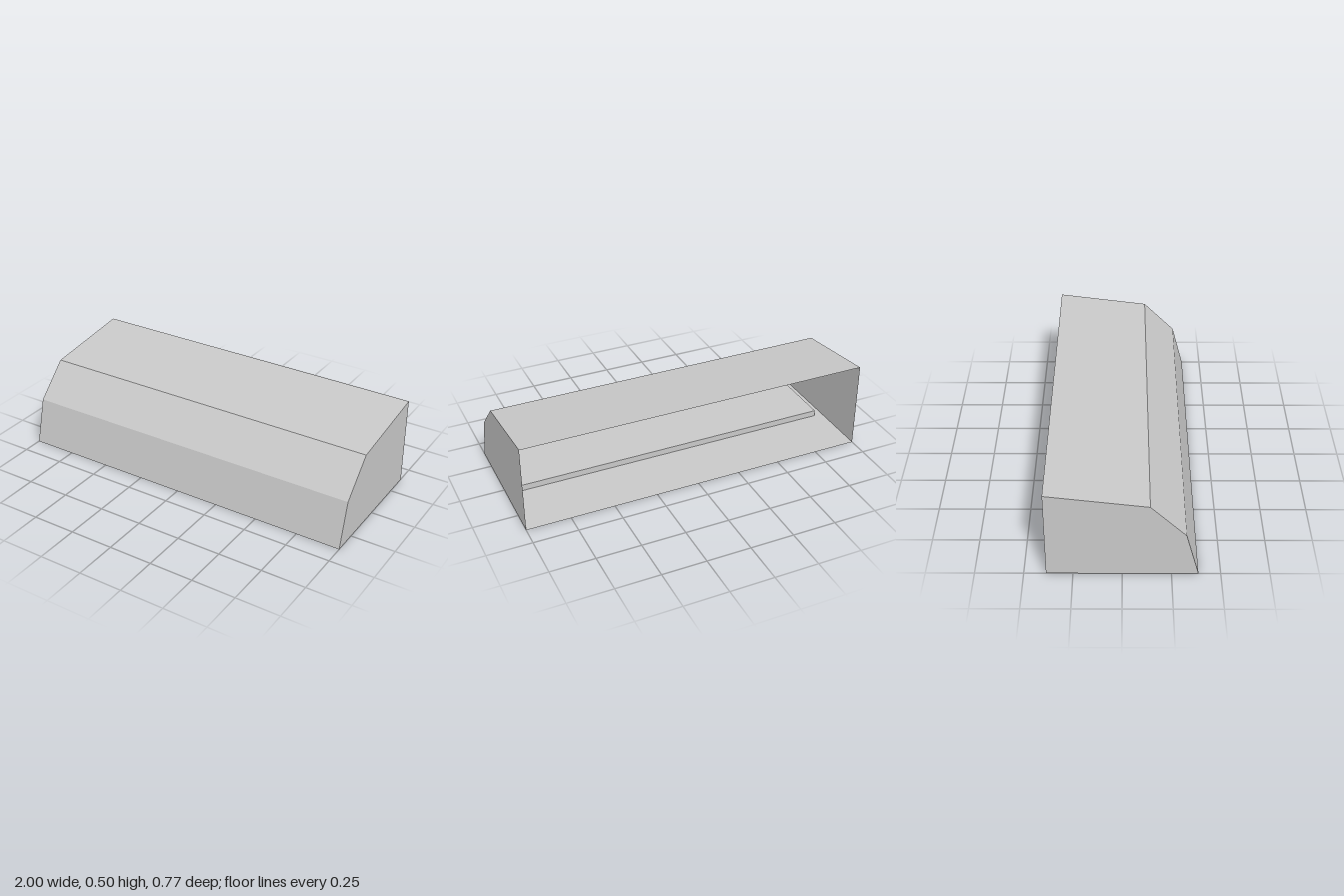
import * as THREE from 'three';

export function createModel() {
  const model = new THREE.Group();
  const grey = new THREE.MeshStandardMaterial({ color: 0xc8c8c8, side: THREE.DoubleSide });
  grey.name = 'light grey';

  const add = (name, geometry) => {
    const mesh = new THREE.Mesh(geometry, grey);
    mesh.name = name;
    model.add(mesh);
    return mesh;
  };

  // Flat panel running along x, from one [z, y] point to the next
  const panel = (name, width, [z0, y0], [z1, y1]) => {
    const dz = z1 - z0, dy = y1 - y0;
    const mesh = add(name, new THREE.PlaneGeometry(width, Math.hypot(dz, dy)));
    mesh.position.set(0, (y0 + y1) / 2, (z0 + z1) / 2);
    mesh.rotation.x = Math.atan2(dz, dy);
  };

  // Hood profile as [z, y], from the front foot to the top of the open back
  const profile = [[0.387, 0], [0.32, 0.254], [0.137, 0.437], [-0.387, 0.504]];
  ['frontWall', 'frontSlope', 'roof'].forEach((name, i) => panel(name, 2, profile[i], profile[i + 1]));

  // End walls
  for (const side of [1, -1]) {
    const points = [...profile, [-0.387, 0]].map(([z, y]) => new THREE.Vector2(-side * z, y));
    const end = add(side > 0 ? 'leftEnd' : 'rightEnd', new THREE.ShapeGeometry(new THREE.Shape(points)));
    end.rotation.y = side * Math.PI / 2;
    end.position.x = side;
  }

  // Floor with a rectangular opening below the raised tray
  const halfX = 0.948, back = -0.046, front = 0.32, height = 0.036;
  const rect = (x, z0, z1) => [[-x, z0], [x, z0], [x, z1], [-x, z1]].map(p => new THREE.Vector2(...p));
  const floorShape = new THREE.Shape(rect(1, -0.387, 0.387));
  floorShape.holes.push(new THREE.Path(rect(halfX, back, front)));
  add('floor', new THREE.ShapeGeometry(floorShape)).rotation.x = Math.PI / 2;

  // Raised tray, open from below
  panel('trayFront', halfX * 2, [front, 0], [front, height]);
  panel('trayTop', halfX * 2, [front, height], [back, height]);
  panel('trayBack', halfX * 2, [back, height], [back, 0]);
  for (const side of [1, -1]) {
    const wall = add(side > 0 ? 'trayLeft' : 'trayRight', new THREE.PlaneGeometry(front - back, height));
    wall.position.set(side * halfX, height / 2, (front + back) / 2);
    wall.rotation.y = side * Math.PI / 2;
  }

  return model;
}
